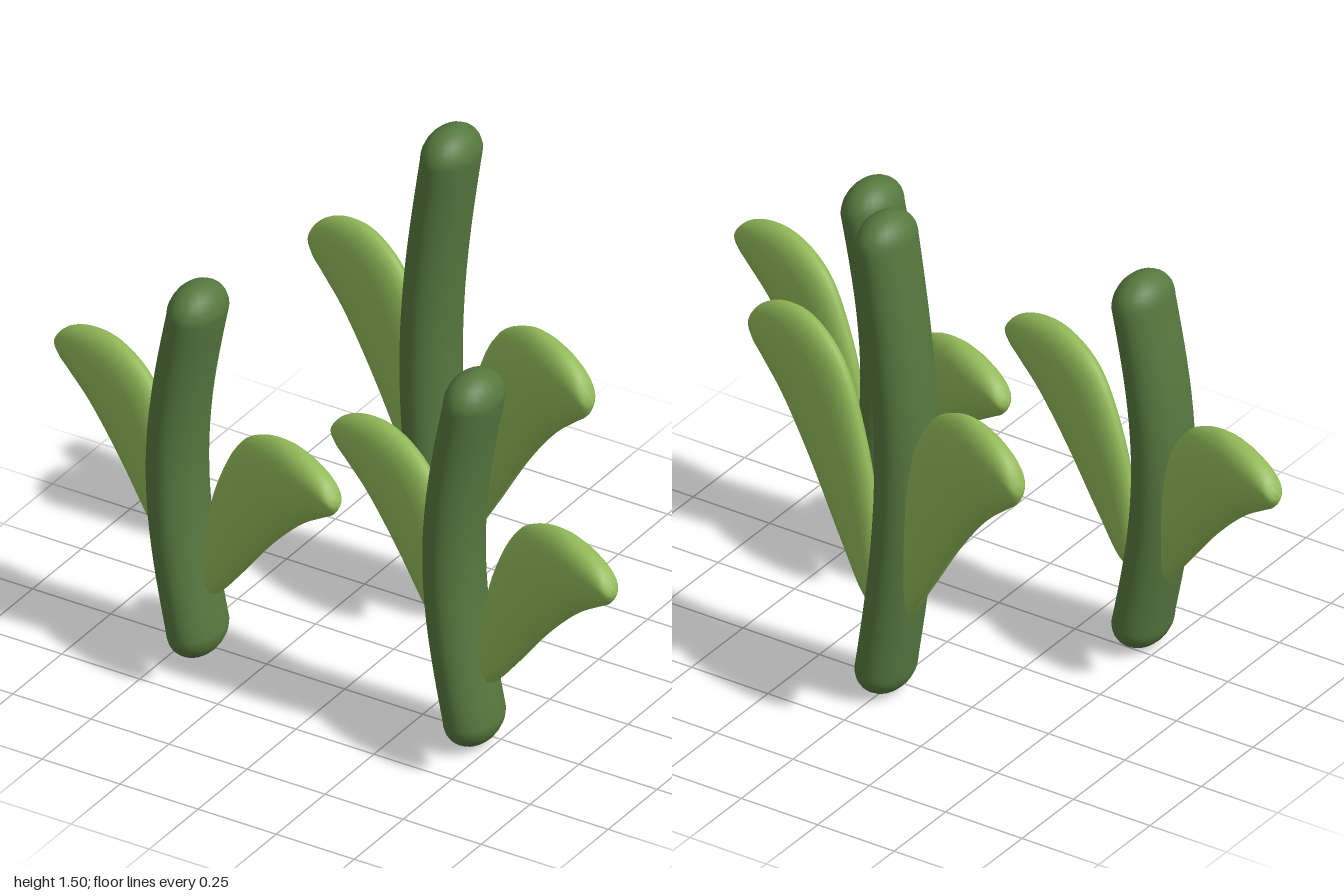
import * as THREE from 'three';

const SIDES = 24;

// Smooth closed skin over a list of rings, each with SIDES points
function loft(rings) {
  const index = [];
  for (let i = 0; i < rings.length - 1; i++) {
    for (let j = 0; j < SIDES; j++) {
      const k = (j + 1) % SIDES;
      const a = i * SIDES + j, b = i * SIDES + k;
      index.push(a, b, a + SIDES, b, b + SIDES, a + SIDES);
    }
  }
  const geo = new THREE.BufferGeometry();
  geo.setAttribute('position', new THREE.Float32BufferAttribute(rings.flat(2), 3));
  geo.setIndex(index);
  geo.computeVertexNormals();
  return geo;
}

function ring(point) {
  return Array.from({ length: SIDES }, (_, j) => {
    const a = (j / SIDES) * Math.PI * 2;
    return point(Math.cos(a), Math.sin(a));
  });
}

// Oval stalk with round ends, bowed towards -x
function stemGeometry(height) {
  const cap = 0.085, levels = [];
  for (let i = 0; i <= 8; i++) {
    const a = (i / 8) * Math.PI / 2;
    levels.push([cap * (1 - Math.cos(a)), Math.sin(a)]);
  }
  for (let i = 1; i < 20; i++) levels.push([cap + (height - 2 * cap) * i / 20, 1]);
  for (let i = 8; i >= 0; i--) levels.push([height - levels[i][0], levels[i][1]]);
  return loft(levels.map(([y, r]) => {
    const t = THREE.MathUtils.clamp((y - cap) / (height - 2 * cap), 0, 1);
    const bow = -0.065 * Math.sin(Math.PI * t);
    return ring((c, s) => [bow + 0.075 * r * c, y, -0.11 * r * s]);
  }));
}

// Leaf sections: outer edge x, y, inner edge x, y, half thickness
const SECTIONS = [
  [0.05, 0.208, 0.048, 0.21, 0],
  [0.085, 0.228, 0.03, 0.28, 0.024],
  [0.175, 0.33, 0.045, 0.43, 0.038],
  [0.305, 0.49, 0.095, 0.60, 0.05],
  [0.42, 0.605, 0.195, 0.77, 0.055],
  [0.50, 0.662, 0.32, 0.828, 0.052],
  [0.54, 0.69, 0.43, 0.822, 0.044],
  [0.555, 0.715, 0.515, 0.785, 0.03],
  [0.555, 0.735, 0.552, 0.742, 0],
];

// Plump leaf, rising from the stem and widening to a blunt tip
function leafGeometry(stretch, baseY) {
  const yaw = Math.cos(0.305);
  const curve = (f) => new THREE.CatmullRomCurve3(SECTIONS.map(f));
  const outer = curve((p) => new THREE.Vector3(p[0] / yaw, baseY + (p[1] - 0.208) * stretch, p[4]));
  const inner = curve((p) => new THREE.Vector3(p[2] / yaw, baseY + (p[3] - 0.208) * stretch, p[4]));
  const rings = [];
  for (let i = 0; i <= 40; i++) {
    const o = outer.getPoint(i / 40), n = inner.getPoint(i / 40);
    const mid = o.clone().add(n).multiplyScalar(0.5);
    rings.push(ring((c, s) => [
      mid.x + (o.x - mid.x) * c, mid.y + (o.y - mid.y) * c, -Math.max(o.z, 0) * s,
    ]));
  }
  return loft(rings);
}

export function createModel() {
  const model = new THREE.Group();
  model.name = 'plants';
  const stemGreen = new THREE.MeshStandardMaterial({ color: 0x56783e });
  stemGreen.name = 'stem green';
  const leafGreen = new THREE.MeshStandardMaterial({ color: 0x91b958 });
  leafGreen.name = 'leaf green';

  function plant(name, x, z, height, stretch, leafBase) {
    const group = new THREE.Group();
    group.name = name;
    group.position.set(x, 0, z);
    const stem = new THREE.Mesh(stemGeometry(height), stemGreen);
    stem.name = 'stem';
    group.add(stem);
    // Two leaves, half a turn apart
    const geo = leafGeometry(stretch, leafBase);
    for (const [leafName, turn] of [['leftLeaf', 0], ['rightLeaf', Math.PI]]) {
      const leaf = new THREE.Mesh(geo, leafGreen);
      leaf.name = leafName;
      leaf.rotation.y = turn - 0.305;
      group.add(leaf);
    }
    model.add(group);
  }

  plant('tallBackPlant', 0, -0.295, 1.5, 1.274, 0.23);
  plant('frontLeftPlant', 0.443, 0.295, 1.165, 1, 0.208);
  plant('frontRightPlant', -0.443, 0.295, 1.165, 1, 0.208);
  return model;
}
